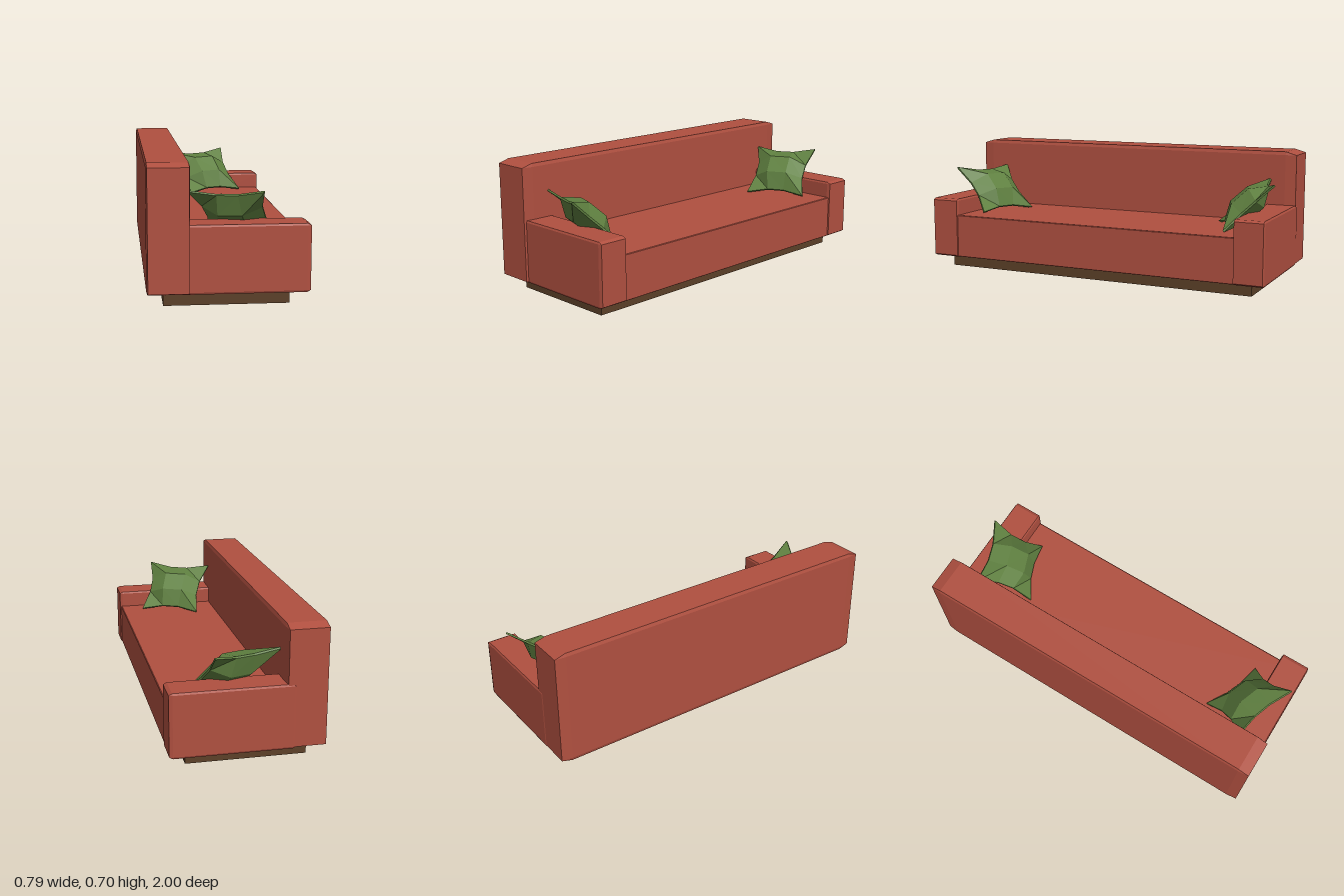
import * as THREE from 'three';
import { ConvexGeometry } from 'three/addons/geometries/ConvexGeometry.js';

const red = new THREE.MeshStandardMaterial({ color: 0xb05040, flatShading: true });
const green = new THREE.MeshStandardMaterial({ color: 0x5f8040, flatShading: true });
const brown = new THREE.MeshStandardMaterial({ color: 0x5c4028, flatShading: true });

// Box from min to max corner with its edges cut by a different amount per axis
function chamferBox(name, min, max, cut) {
  const points = [];
  for (let i = 0; i < 8; i++) {
    const sign = [i & 1 ? 1 : -1, i & 2 ? 1 : -1, i & 4 ? 1 : -1];
    for (let face = 0; face < 3; face++) {
      const p = sign.map((s, a) => (s > 0 ? max[a] : min[a]) - (a === face ? 0 : s * cut[a]));
      points.push(new THREE.Vector3(...p));
    }
  }
  const mesh = new THREE.Mesh(new ConvexGeometry(points), red);
  mesh.name = name;
  return mesh;
}

// Faceted cushion: two 3 x 3 sheets spanning four corners, joined by a thin rim
function cushionGeometry([a, b, c, d]) {
  const n = 4, rim = 0.005, bulge = 0.065, pinch = 0.085;
  const across = b.clone().sub(a), down = d.clone().sub(a);
  const normal = down.cross(across).normalize();
  const positions = [], index = [];
  const inner = (k) => k === 1 || k === 2;
  for (const side of [1, -1]) {
    for (let j = 0; j < n; j++) for (let i = 0; i < n; i++) {
      let u = i / 3, v = j / 3;
      // pull the edges inward so the corners stand out
      if (inner(i) && !inner(j)) { v += j ? -pinch : pinch; u = 0.5 + (u - 0.5) * 0.85; }
      if (inner(j) && !inner(i)) { u += i ? -pinch : pinch; v = 0.5 + (v - 0.5) * 0.85; }
      const top = a.clone().lerp(b, u), bottom = d.clone().lerp(c, u);
      const h = inner(i) && inner(j) ? bulge : rim;
      positions.push(...top.lerp(bottom, v).addScaledVector(normal, side * h).toArray());
    }
  }
  const quad = (p, q, r, s) => index.push(p, q, r, p, r, s);
  const back = n * n;
  for (let j = 0; j < 3; j++) for (let i = 0; i < 3; i++) {
    const p = j * n + i;
    quad(p, p + n, p + n + 1, p + 1);
    quad(back + p, back + p + 1, back + p + n + 1, back + p + n);
  }
  // rim loop around the border
  const loop = [0, 1, 2, 3, 7, 11, 15, 14, 13, 12, 8, 4];
  loop.forEach((p, k) => {
    const q = loop[(k + 1) % loop.length];
    quad(p, q, back + q, back + p);
  });
  const geometry = new THREE.BufferGeometry();
  geometry.setAttribute('position', new THREE.Float32BufferAttribute(positions, 3));
  geometry.setIndex(index);
  geometry.computeVertexNormals();
  return geometry;
}

export function createModel() {
  const sofa = new THREE.Group();
  sofa.name = 'sofa';

  // Plinth
  const plinth = new THREE.Mesh(new THREE.BoxGeometry(0.62, 0.08, 1.825), brown);
  plinth.name = 'plinth';
  plinth.position.set(-0.005, 0.04, 0);
  sofa.add(plinth);

  // Backrest and seat
  sofa.add(chamferBox('backrest', [-0.397, 0.06, -0.998], [-0.185, 0.703, 0.998], [0.006, 0.018, 0.06]));
  sofa.add(chamferBox('seat', [-0.24, 0.073, -0.96], [0.39, 0.315, 0.945], [0.004, 0.003, 0.03]));

  // Armrests and cushions, mirrored about a plane just off centre
  const midZ = -0.0075;
  const corners = [[-0.19, 0.55, -0.85], [0.17, 0.562, -0.975], [0.265, 0.32, -0.733], [-0.06, 0.315, -0.6]];
  for (const side of [-1, 1]) {
    const label = side > 0 ? 'left' : 'right';
    const z = [side * 0.8275, side * 0.9925].sort((p, q) => p - q);
    const arm = chamferBox(label + 'Armrest', [-0.24, 0.07, z[0]], [0.397, 0.408, z[1]], [0.018, 0.01, 0.005]);
    arm.position.z = midZ;
    sofa.add(arm);

    let pts = corners.map(([x, y, zc]) => new THREE.Vector3(x, y, -side * zc));
    if (side > 0) pts = [pts[1], pts[0], pts[3], pts[2]];
    const cushion = new THREE.Mesh(cushionGeometry(pts), green);
    cushion.name = label + 'Cushion';
    cushion.position.z = midZ;
    sofa.add(cushion);
  }
  return sofa;
}
